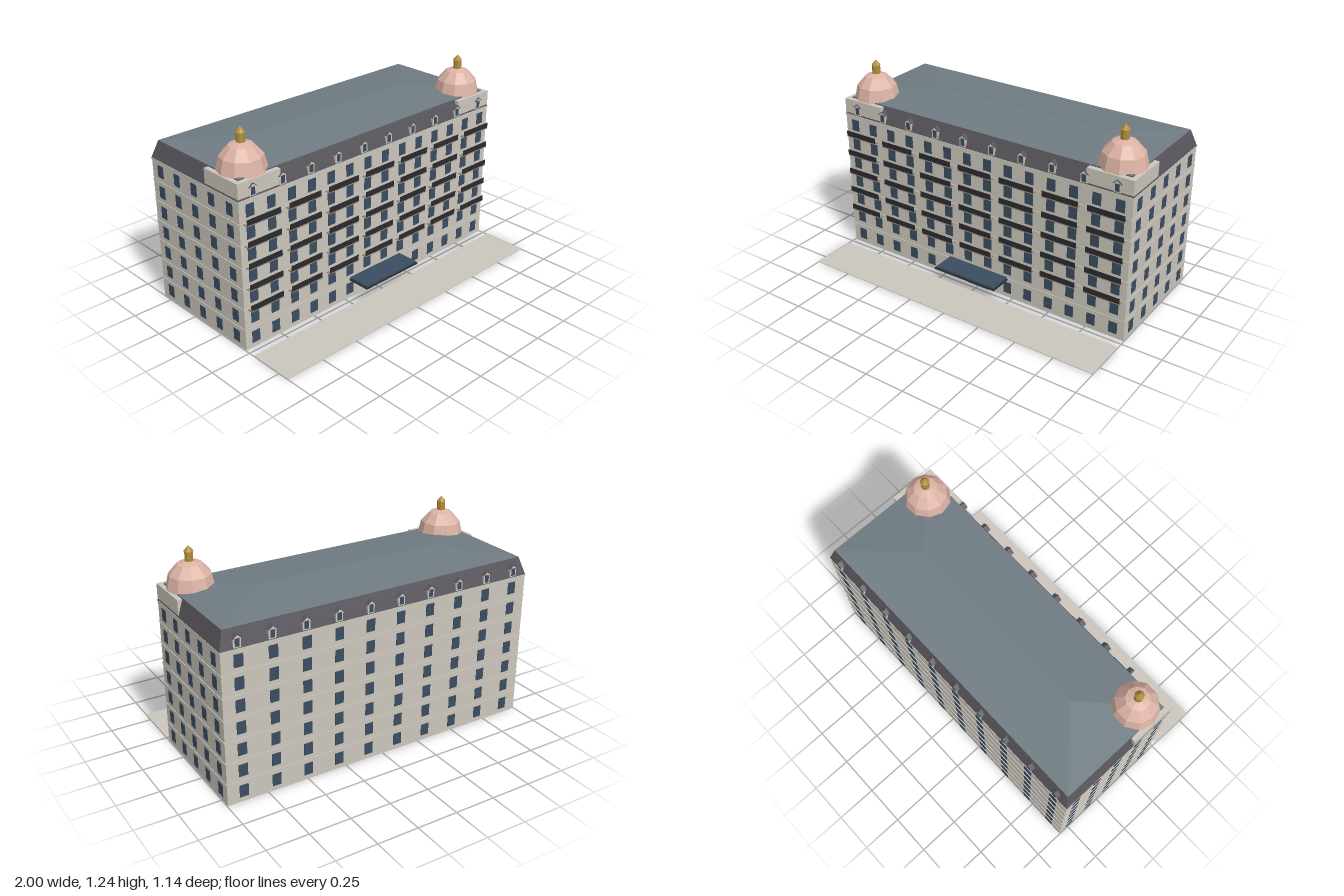
import * as THREE from 'three';
import { mergeGeometries } from 'three/addons/utils/BufferGeometryUtils.js';

const material = (name, color) => Object.assign(new THREE.MeshStandardMaterial({ color }), { name });

const W = 1.992, D = 0.785, ZC = -0.1745, FLOOR = 0.129, FLOORS = 7;
const TOP = FLOOR * FLOORS, FRONT = ZC + D / 2, BACK = ZC - D / 2, SIDE = W / 2;

// Box given by its centre
const box = (w, h, d, x, y, z) => new THREE.BoxGeometry(w, h, d).translate(x, y, z);

// Box whose top face is pulled in to a smaller rectangle
function taperedBox(w, d, topW, topD, y0, y1) {
  const g = new THREE.BoxGeometry(w, y1 - y0, d);
  const p = g.attributes.position;
  for (let i = 0; i < p.count; i++) {
    if (p.getY(i) > 0) {
      p.setX(i, Math.sign(p.getX(i)) * topW / 2);
      p.setZ(i, Math.sign(p.getZ(i)) * topD / 2);
    }
  }
  g.computeVertexNormals();
  return g.translate(0, (y0 + y1) / 2, ZC);
}

// Faceted normals for low-poly round parts
function facet(g) {
  const f = g.toNonIndexed();
  f.computeVertexNormals();
  return f;
}

export function createModel() {
  const stone = material('stone', 0xcbc6bc);
  const glass = material('blue glass', 0x3a4d60);
  const slate = material('roof slate', 0x6f7b82);
  const mansardSlate = material('dark mansard slate', 0x59575d);
  const iron = material('dark iron', 0x2b2a2f);
  const slabStone = material('balcony stone', 0x968c7b);
  const copper = material('pink copper', 0xdcb3a5);
  const gold = material('gold', 0xb08e3a);

  const model = new THREE.Group();
  model.name = 'grandHotel';
  const add = (name, geometry, mat, parent = model) => {
    const mesh = new THREE.Mesh(Array.isArray(geometry) ? mergeGeometries(geometry) : geometry, mat);
    mesh.name = name;
    parent.add(mesh);
    return mesh;
  };

  // Upper storeys, and a ground storey of walls open underneath
  add('upperStoreys', box(W, TOP - FLOOR, D, 0, (TOP + FLOOR) / 2, ZC), stone);
  const t = 0.005, walls = [];
  for (const s of [-1, 1]) {
    walls.push(box(W, FLOOR, t, 0, FLOOR / 2, ZC + s * (D - t) / 2));
    walls.push(box(t, FLOOR, D, s * (W - t) / 2, FLOOR / 2, ZC));
  }
  add('groundStoreyWalls', walls, stone);

  // String courses between storeys and a cornice
  const courses = [];
  for (let f = 1; f <= FLOORS; f++) {
    const h = f === FLOORS ? 0.008 : 0.005;
    for (const s of [-1, 1]) {
      courses.push(box(W + 0.008, h, 0.008, 0, f * FLOOR, ZC + s * D / 2));
      courses.push(box(0.008, h, D + 0.008, s * SIDE, f * FLOOR, ZC));
    }
  }
  add('stringCourses', courses, stone);

  // Windows on all four sides
  const front = [], back = [], ends = [];
  for (let f = 0; f < FLOORS; f++) {
    const y = f * FLOOR + 0.066;
    for (let i = 0; i < 14; i++) {
      if (f === 0 && (i === 6 || i === 7)) continue;
      front.push(box(0.054, 0.073, 0.005, (i - 6.5) * W / 14, y, FRONT));
    }
    for (let i = 0; i < 10; i++) back.push(box(0.054, 0.073, 0.005, (i - 4.5) * W / 10, y, BACK));
    for (let i = 0; i < 5; i++) {
      for (const s of [-1, 1]) ends.push(box(0.005, 0.073, 0.052, s * SIDE, y, ZC + (i - 2) * D / 5));
    }
  }
  add('frontWindows', front, glass);
  add('backWindows', back, glass);
  add('endWindows', ends, glass);
  add('entranceDoor', box(0.15, 0.115, 0.006, 0, 0.0575, FRONT), glass);

  // Entrance canopy
  add('canopyFrame', box(0.436, 0.007, 0.158, 0, 0.126, 0.289), iron);
  add('canopyGlass', box(0.42, 0.009, 0.15, 0, 0.134, 0.285), glass);

  // Balconies: stone slabs with thin iron railings
  const slabs = [], rails = [];
  for (let f = 2; f <= 6; f++) {
    for (let i = -3; i <= 3; i++) {
      const x = i * 0.286, y = f * FLOOR;
      slabs.push(box(0.228, 0.006, 0.034, x, y - 0.005, FRONT + 0.017));
      rails.push(box(0.228, 0.034, 0.002, x, y + 0.015, FRONT + 0.032));
    }
  }
  add('balconySlabs', slabs, slabStone);
  add('balconyRailings', rails, iron);

  // Mansard slope and shallow hipped roof
  add('mansard', taperedBox(W + 0.004, D + 0.002, 1.932, 0.718, TOP + 0.004, 1.012), mansardSlate);
  add('hippedRoof', taperedBox(1.932, 0.718, 1.2, 0, 1.012, 1.047), slate);

  // Dormers along front and back
  const gable = new THREE.Shape([
    new THREE.Vector2(-0.022, 0.912), new THREE.Vector2(0.022, 0.912),
    new THREE.Vector2(0.022, 0.964), new THREE.Vector2(0, 0.982), new THREE.Vector2(-0.022, 0.964)]);
  for (const [side, face, turn] of [['front', FRONT, 0], ['back', BACK, Math.PI]]) {
    const bodies = [], panes = [], roofs = [];
    for (let i = 0; i < 10; i++) {
      const x = (i - 4.5) * 0.2;
      bodies.push(new THREE.ExtrudeGeometry(gable, { depth: 0.045, bevelEnabled: false }).translate(x, 0, -0.043));
      panes.push(box(0.026, 0.044, 0.004, x, 0.941, 0.002));
      for (const s of [-1, 1]) {
        roofs.push(new THREE.BoxGeometry(0.036, 0.004, 0.05).rotateZ(-s * 0.69)
          .translate(x + s * 0.0135, 0.9745, -0.019));
      }
    }
    const row = new THREE.Group();
    row.name = side + 'Dormers';
    row.position.z = face;
    row.rotation.y = turn;
    model.add(row);
    add('dormerBodies', bodies, stone, row);
    add('dormerWindows', panes, glass, row);
    add('dormerRoofs', roofs, mansardSlate, row);
  }

  // Corner pavilions with faceted domes and finials
  for (const s of [-1, 1]) {
    const tower = new THREE.Group();
    tower.name = s > 0 ? 'leftPavilion' : 'rightPavilion';
    tower.position.set(s * 0.855, 0, 0.076);
    model.add(tower);
    add('pavilionBlock', box(0.284, 0.089, 0.284, 0, 0.9615, 0), stone, tower);
    const dome = new THREE.SphereGeometry(0.139, 10, 3, 0, Math.PI * 2, 0, Math.PI / 2);
    add('dome', facet(dome.scale(1, 1.15, 1).translate(0, 1.005, 0)), copper, tower);
    add('finialDrum', facet(new THREE.CylinderGeometry(0.025, 0.025, 0.06, 8).translate(0, 1.185, 0)), gold, tower);
    add('finialPoint', facet(new THREE.ConeGeometry(0.028, 0.032, 8).translate(0, 1.228, 0)), gold, tower);
  }

  // Pavement strip in front
  add('pavement', box(2, 0.004, 0.282, 0, 0.002, 0.43), stone);

  return model;
}
